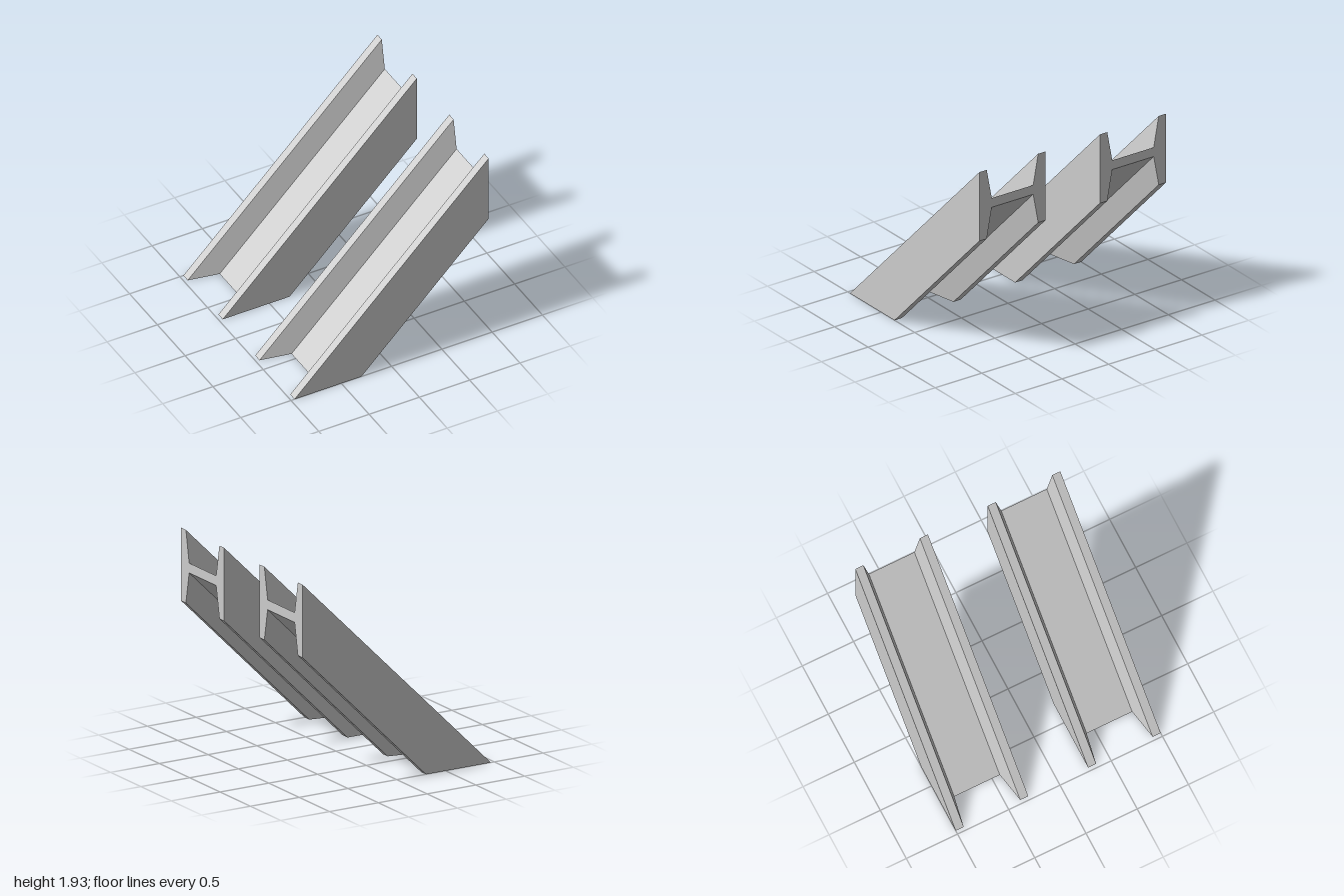
import * as THREE from 'three';

const END_X = 0.965;       // plumb-cut upper end
const CENTRE_Z = 0.646;    // distance of each beam from the middle

// Half-widths and heights of the H section; height is measured as y - x on the 45 degree slope
const OUTER = 0.354, TIP = 0.276, ROOT = 0.222;
const TOP = 0.965, WEB_TOP = 0.677, WEB_BOTTOM = 0.588, BOTTOM = 0.3;

function beamGeometry() {
  const section = new THREE.Shape([
    [-OUTER, BOTTOM], [-TIP, BOTTOM], [-ROOT, WEB_BOTTOM],
    [ROOT, WEB_BOTTOM], [TIP, BOTTOM], [OUTER, BOTTOM],
    [OUTER, TOP], [TIP, TOP], [ROOT, WEB_TOP],
    [-ROOT, WEB_TOP], [-TIP, TOP], [-OUTER, TOP],
  ].map(([s, v]) => new THREE.Vector2(s, v)));
  const geometry = new THREE.ExtrudeGeometry(section, { depth: 1, bevelEnabled: false });

  // Lay the section along the slope: level cut at y = 0, plumb cut at x = END_X
  const p = geometry.attributes.position;
  for (let i = 0; i < p.count; i++) {
    const s = p.getX(i), v = p.getY(i);
    const x = p.getZ(i) > 0.5 ? END_X : -v;
    p.setXYZ(i, x, x + v, -s);
  }
  geometry.computeVertexNormals();
  return geometry;
}

export function createModel() {
  const group = new THREE.Group();
  group.name = 'slopedBeams';
  const geometry = beamGeometry();
  const material = new THREE.MeshStandardMaterial({ color: 0xcccccc, flatShading: true });

  // Matching beams at the front and back
  for (const [name, side] of [['frontBeam', 1], ['backBeam', -1]]) {
    const beam = new THREE.Mesh(geometry, material);
    beam.name = name;
    beam.position.z = side * CENTRE_Z;
    group.add(beam);
  }
  return group;
}
